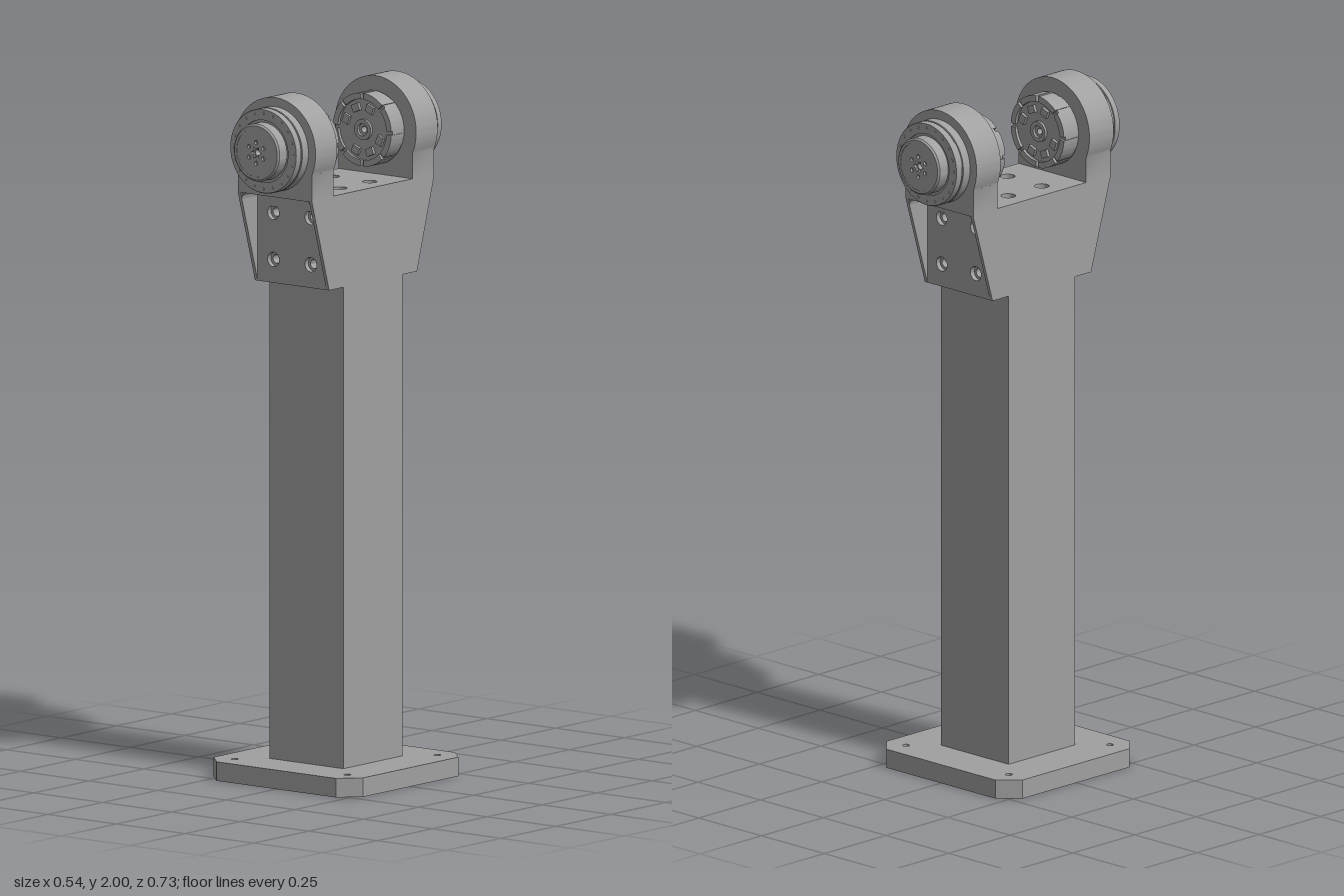
import * as THREE from 'three';
import { toCreasedNormals } from 'three/addons/utils/BufferGeometryUtils.js';

const grey = new THREE.MeshStandardMaterial({ color: 0xa0a0a0 });
grey.name = 'machined grey';

const BOLT = 0.068; // half spacing of the main bolt pattern
const AXIS = 1.85;  // height of the joint axis

function add(parent, name, geometry) {
  const mesh = new THREE.Mesh(geometry, grey);
  mesh.name = name;
  parent.add(mesh);
  return mesh;
}

function polygon(points) {
  return new THREE.Shape(points.map(([x, y]) => new THREE.Vector2(x, y)));
}

const rect = (w, h) => polygon([[-w, -h], [w, -h], [w, h], [-w, h]]);

function hole(shape, x, y, r) {
  shape.holes.push(new THREE.Path().absarc(x, y, r, 0, Math.PI * 2, true));
}

// Four holes on a square pattern
function fourHoles(shape, spacing, r) {
  for (const x of [-spacing, spacing]) for (const y of [-spacing, spacing]) hole(shape, x, y, r);
  return shape;
}

function extrude(shape, depth, curveSegments = 12) {
  const g = new THREE.ExtrudeGeometry(shape, { depth, bevelEnabled: false, curveSegments });
  return toCreasedNormals(g, 0.6);
}

// Horizontal plate with its underside at height y
const flat = (shape, y, h) => extrude(shape, h).rotateX(-Math.PI / 2).translate(0, y, 0);

function buildBase(root) {
  const a = 0.272, b = 0.217;
  const outline = () => fourHoles(polygon(
    [[-b, -a], [b, -a], [a, -b], [a, b], [b, a], [-b, a], [-a, b], [-a, -b]]), 0.205, 0.01);
  add(root, 'basePlateLower', flat(fourHoles(outline(), BOLT, 0.026), 0, 0.03));
  add(root, 'basePlateUpper', flat(fourHoles(outline(), BOLT, 0.013), 0.03, 0.025));

  const tube = rect(0.135, 0.135);
  tube.holes.push(new THREE.Path(rect(0.115, 0.115).getPoints().reverse()));
  add(root, 'column', flat(tube, 0.055, 1.39));
}

function buildBracket(root) {
  const bracket = new THREE.Group();
  bracket.name = 'forkBracket';
  root.add(bracket);

  // Floor of the fork, counterbored, and the underside
  add(bracket, 'forkFloor', flat(fourHoles(rect(0.13, 0.2), BOLT, 0.021), 1.695, 0.02));
  add(bracket, 'forkFloorLower', flat(fourHoles(rect(0.13, 0.2), BOLT, 0.013), 1.665, 0.03));
  add(bracket, 'forkUnderside', flat(fourHoles(rect(0.13, 0.2), BOLT, 0.02), 1.445, 0.01));

  // Tapered cheeks that frame the pockets
  const cheek = polygon([[-0.2, 1.445], [0.2, 1.445], [0.278, 1.71], [0.278, 1.715], [-0.278, 1.715], [-0.278, 1.71]]);
  for (const s of [-1, 1]) {
    add(bracket, 'cheek', extrude(cheek, 0.01).rotateY(Math.PI / 2).translate(s * 0.13 - 0.005, 0, 0));
  }
}

// One fork arm with its pocket wall, facing +z
function buildArm(parent) {
  const wallY = 1.58;
  add(parent, 'pocketWallOuter', extrude(fourHoles(rect(0.13, 0.135), BOLT, 0.021), 0.015).translate(0, wallY, 0.185));
  add(parent, 'pocketWallInner', extrude(fourHoles(rect(0.13, 0.13), BOLT, 0.013), 0.03).translate(0, wallY, 0.155));

  // Rounded eye on a straight neck
  const r = 0.148, t = Math.asin(-0.061 / r);
  const eye = new THREE.Shape();
  eye.moveTo(-0.135, -0.14);
  eye.lineTo(0.135, -0.14);
  eye.lineTo(0.135, -0.061);
  eye.absarc(0, 0, r, t, Math.PI - t, false);
  eye.closePath();
  hole(eye, 0, 0, 0.1);
  add(parent, 'armEye', extrude(eye, 0.098, 32).translate(0, AXIS, 0.18));

  // Rounded upper corners of the pocket
  const fillet = new THREE.Shape();
  fillet.moveTo(0.126, 1.711);
  fillet.lineTo(0.105, 1.711);
  fillet.absarc(0.105, 1.69, 0.02, Math.PI / 2, 0, true);
  fillet.lineTo(0.126, 1.69);
  fillet.closePath();
  const corner = extrude(fillet, 0.072);
  add(parent, 'pocketCornerLeft', corner.clone().translate(0, 0, 0.2));
  add(parent, 'pocketCornerRight', corner.clone().translate(0, 0, -0.272).rotateY(Math.PI));
}

// Rotary joint with its output side toward +z
function buildJoint(parent) {
  const joint = new THREE.Group();
  joint.name = 'rotaryJoint';
  joint.position.y = AXIS;
  parent.add(joint);

  // Housing, flange and output hub with a through bore
  const profile = [
    [0.009, 0.128], [0.104, 0.128], [0.104, 0.18], [0.104, 0.275], [0.122, 0.275],
    [0.122, 0.305], [0.119, 0.306], [0.119, 0.31], [0.122, 0.311], [0.122, 0.328], [0.12, 0.331],
    [0.09, 0.331], [0.09, 0.327], [0.083, 0.327], [0.083, 0.36], [0.078, 0.365],
    [0.07, 0.365], [0.07, 0.356], [0.009, 0.356], [0.009, 0.128],
  ].map(([r, z]) => new THREE.Vector2(r, z));
  add(joint, 'housing', toCreasedNormals(new THREE.LatheGeometry(profile, 64).rotateX(Math.PI / 2), 0.5));

  // Output face with a star socket and small holes
  const face = new THREE.Shape().absarc(0, 0, 0.0705, 0, Math.PI * 2, false);
  const star = [];
  for (let i = 0; i < 12; i++) {
    const a = -i * Math.PI / 6, r = i % 2 ? 0.011 : 0.019;
    star.push(new THREE.Vector2(r * Math.cos(a), r * Math.sin(a)));
  }
  face.holes.push(new THREE.Path(star));
  for (let i = 0; i < 6; i++) {
    const a = (i + 0.5) * Math.PI / 3;
    hole(face, 0.03 * Math.cos(a), 0.03 * Math.sin(a), 0.006);
  }
  add(joint, 'outputFace', extrude(face, 0.009, 32).translate(0, 0, 0.355));

  // Flange screws
  for (let i = 0; i < 20; i++) {
    const a = i * Math.PI / 10;
    const screw = new THREE.CylinderGeometry(0.004, 0.004, 0.004, 10).rotateX(Math.PI / 2);
    add(joint, 'flangeScrew', screw.translate(0.109 * Math.cos(a), 0.109 * Math.sin(a), 0.331));
  }

  // Castellated rear rim and connector blocks
  for (let i = 0; i < 8; i++) {
    const a0 = i * Math.PI / 4 + 0.05, a1 = (i + 1) * Math.PI / 4 - 0.05;
    const arc = new THREE.Shape();
    arc.absarc(0, 0, 0.106, a0, a1, false);
    arc.absarc(0, 0, 0.088, a1, a0, true);
    arc.closePath();
    add(joint, 'rearRim', extrude(arc, 0.056).translate(0, 0, 0.119));
    const block = new THREE.BoxGeometry(0.022, 0.026, 0.012).translate(0.066, 0, 0.125);
    if (i % 4 !== 3) add(joint, 'connector', block.rotateZ((i + 0.5) * Math.PI / 4));
  }

  // Rear centre collar
  const collar = new THREE.Shape().absarc(0, 0, 0.03, 0, Math.PI * 2, false);
  hole(collar, 0, 0, 0.018);
  add(joint, 'rearCollar', extrude(collar, 0.01, 20).translate(0, 0, 0.12));
}

export function createModel() {
  const root = new THREE.Group();
  root.name = 'jointPedestal';
  buildBase(root);
  buildBracket(root);
  for (const [name, turn] of [['frontArm', 0], ['backArm', Math.PI]]) {
    const side = new THREE.Group();
    side.name = name;
    side.rotation.y = turn;
    buildArm(side);
    buildJoint(side);
    root.add(side);
  }
  return root;
}
